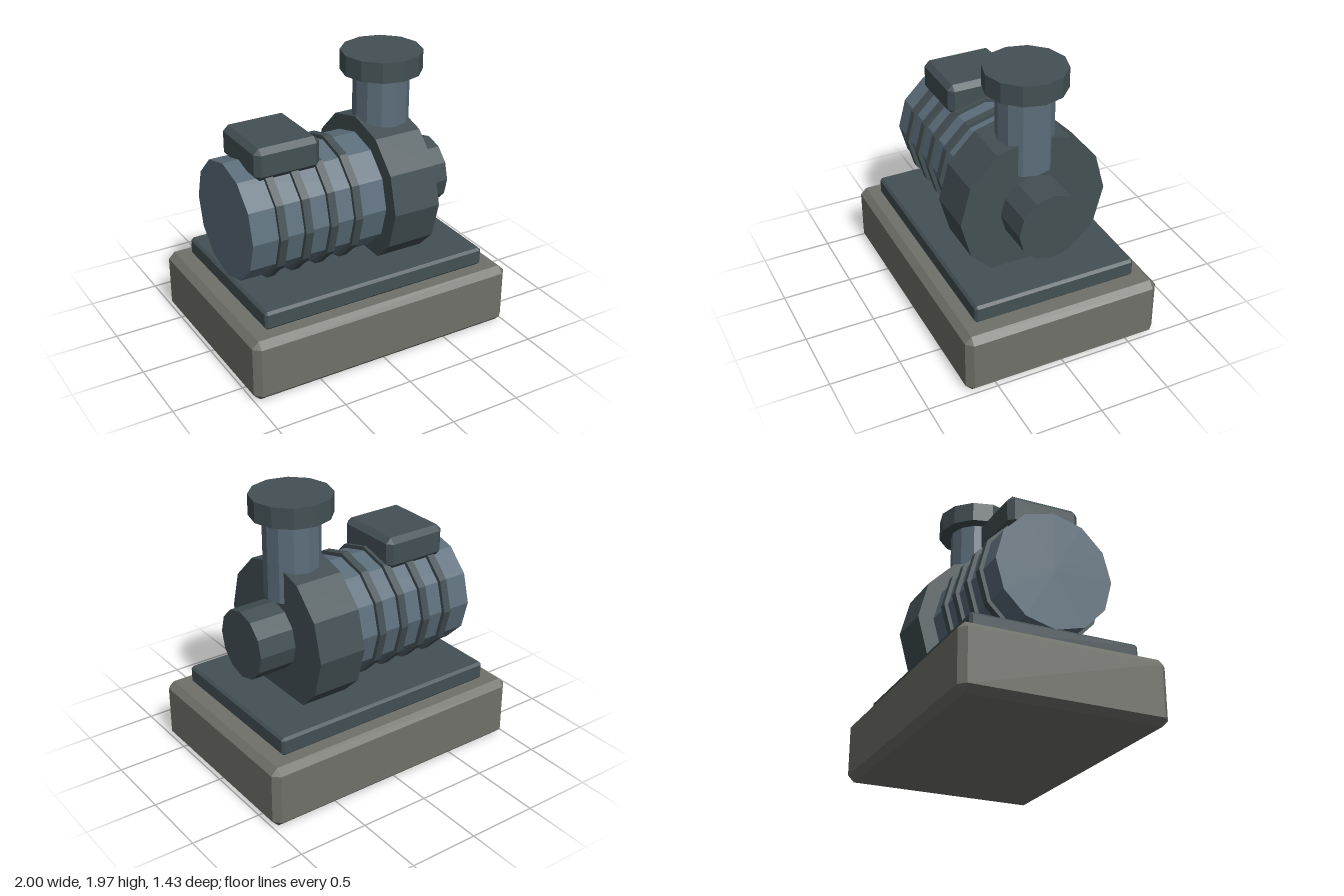
import * as THREE from 'three';
import { ConvexGeometry } from 'three/addons/geometries/ConvexGeometry.js';

const SIDES = 12;
const AXIS_Y = 0.99; // height of the shaft line

// Box from min to max with every edge cut at 45 degrees
function chamferBox(min, max, bevel) {
  const c = new THREE.Vector3().addVectors(min, max).multiplyScalar(0.5);
  const h = new THREE.Vector3().subVectors(max, min).multiplyScalar(0.5);
  const points = [];
  for (const sx of [-1, 1]) for (const sy of [-1, 1]) for (const sz of [-1, 1]) {
    for (let axis = 0; axis < 3; axis++) {
      const inset = [bevel, bevel, bevel];
      inset[axis] = 0;
      points.push(new THREE.Vector3(
        c.x + sx * (h.x - inset[0]),
        c.y + sy * (h.y - inset[1]),
        c.z + sz * (h.z - inset[2])));
    }
  }
  return new ConvexGeometry(points);
}

// Cylinder lying along x on the shaft line
function shaftCylinder(radius, x0, x1) {
  return new THREE.CylinderGeometry(radius, radius, x1 - x0, SIDES)
    .rotateZ(-Math.PI / 2)
    .translate((x0 + x1) / 2, AXIS_Y, 0);
}

// Upright cylinder on the outlet centre line
function outletCylinder(radius, y0, y1) {
  return new THREE.CylinderGeometry(radius, radius, y1 - y0, SIDES)
    .translate(0.365, (y0 + y1) / 2, 0);
}

function makeMaterial(name, color) {
  const m = new THREE.MeshStandardMaterial({ color, flatShading: true });
  m.name = name;
  return m;
}

export function createModel() {
  const group = new THREE.Group();
  group.name = 'pump';
  const concrete = makeMaterial('concrete grey', 0x70716a);
  const darkMetal = makeMaterial('dark metal', 0x435054);
  const blueMetal = makeMaterial('blue grey metal', 0x5c6e7b);
  const v = (x, y, z) => new THREE.Vector3(x, y, z);

  const add = (name, geometry, material) => {
    const mesh = new THREE.Mesh(geometry, material);
    mesh.name = name;
    group.add(mesh);
  };

  // Foundation and mounting plate
  add('foundation', chamferBox(v(-1, 0, -0.715), v(1, 0.45, 0.715), 0.046), concrete);
  add('mountingPlate', chamferBox(v(-0.857, 0.45, -0.592), v(0.857, 0.582, 0.592), 0.018), darkMetal);

  // Motor body with cooling ribs
  add('motorBody', shaftCylinder(0.417, -0.845, 0.17), blueMetal);
  for (let i = 0; i < 4; i++) {
    const x = -0.63 + i * 0.188;
    add('coolingRib', shaftCylinder(0.445, x - 0.028, x + 0.028), darkMetal);
  }

  // Terminal box on top of the motor
  add('terminalBox', chamferBox(v(-0.728, 1.335, -0.26), v(-0.25, 1.563, 0.26), 0.038), darkMetal);

  // Pump casing and inlet
  add('pumpCasing', shaftCylinder(0.532, 0.16, 0.512), darkMetal);
  add('inletPipe', shaftCylinder(0.244, 0.5, 0.783), darkMetal);

  // Outlet pipe and its flange
  add('outletPipe', outletCylinder(0.195, 1.26, 1.84), blueMetal);
  add('outletFlange', outletCylinder(0.282, 1.828, 1.972), darkMetal);

  return group;
}
